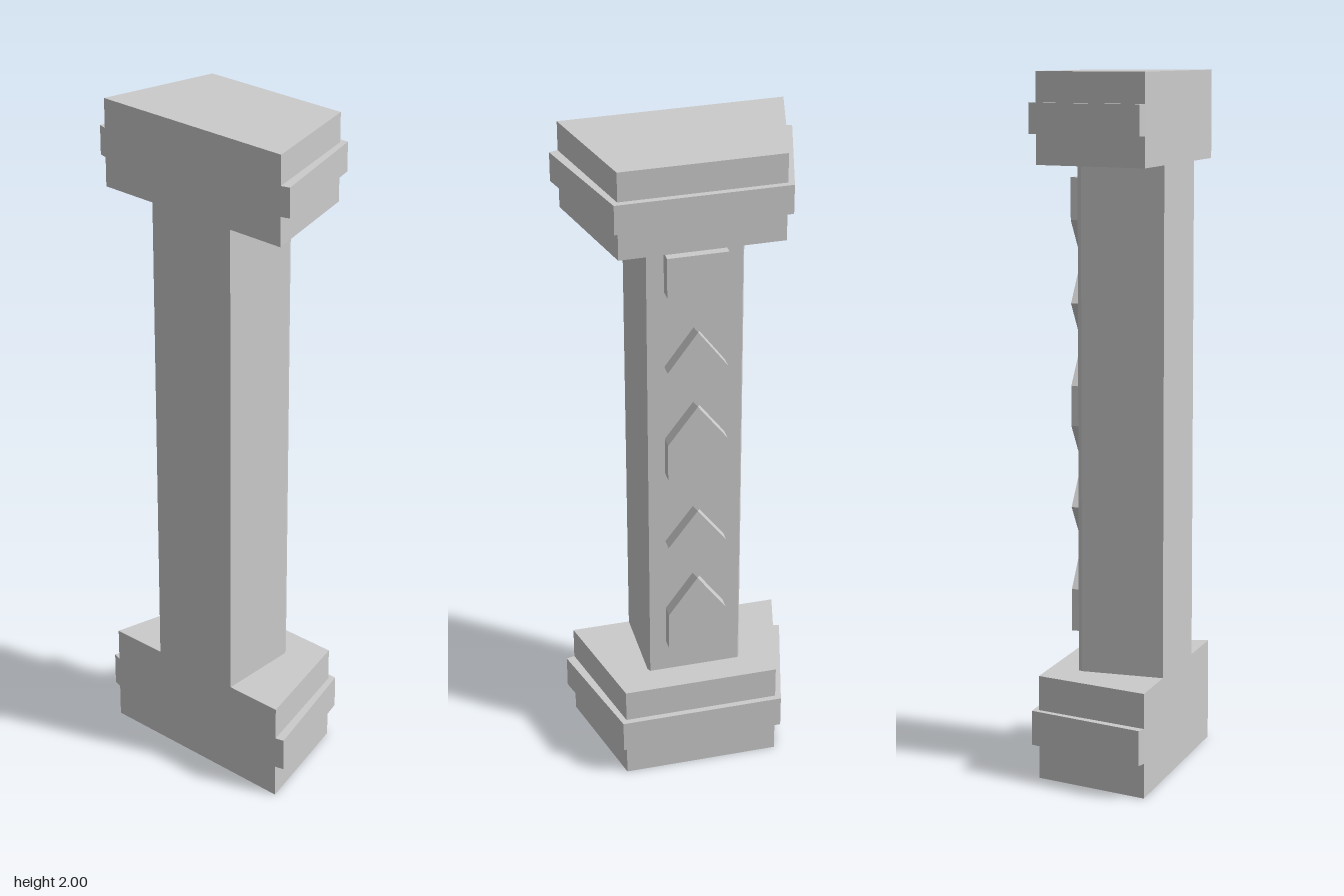
import * as THREE from 'three';

const material = new THREE.MeshStandardMaterial({ color: 0xcccccc, flatShading: true });

// Shape mirrored across x = 0 from its +x half outline
function mirroredShape(half) {
  const left = half.filter(([x]) => x > 0).map(([x, v]) => [-x, v]).reverse();
  return new THREE.Shape([...half, ...left].map(([x, v]) => new THREE.Vector2(x, v)));
}

function extrude(shape, depth) {
  return new THREE.ExtrudeGeometry(shape, { depth, bevelEnabled: false });
}

// Upright prism with an (x, z) plan, standing between two heights
function prism(name, halfPlan, y0, y1) {
  const geometry = extrude(mirroredShape(halfPlan), y1 - y0);
  geometry.rotateX(Math.PI / 2).translate(0, y1, 0);
  const mesh = new THREE.Mesh(geometry, material);
  mesh.name = name;
  return mesh;
}

export function createModel() {
  const group = new THREE.Group();
  group.name = 'pilaster';

  const blockPlan = [[0.23, -0.163], [0.315, 0.178]];
  const bandPlan = [[0.243, -0.18], [0.34, 0.171], [0.315, 0.178]];
  const shaftPlan = [[0.135, -0.076], [0.141, -0.064], [0.141, 0.178]];

  // Base and capital, each with a projecting band
  group.add(prism('base', blockPlan, 0, 0.3));
  group.add(prism('baseBand', bandPlan, 0.1, 0.2));
  group.add(prism('capital', blockPlan, 1.745, 2));
  group.add(prism('capitalBand', bandPlan, 1.83, 1.915));

  // Shaft with chamfered back edges
  group.add(prism('shaft', shaftPlan, 0.3, 1.745));

  // Raised chain of pointed panels and diamonds on the back
  const w = 0.086;
  const panels = {
    lowerPanel: [[w, 0.403], [w, 0.525], [0, 0.645]],
    lowerDiamond: [[0, 0.645], [w, 0.765], [0, 0.88]],
    middlePanel: [[0, 0.88], [w, 1.0], [w, 1.115], [0, 1.23]],
    upperDiamond: [[0, 1.23], [w, 1.35], [0, 1.468]],
    upperPanel: [[0, 1.468], [w, 1.585], [w, 1.705]],
  };
  for (const [name, half] of Object.entries(panels)) {
    const mesh = new THREE.Mesh(extrude(mirroredShape(half), 0.045), material);
    mesh.position.z = -0.114;
    mesh.name = name;
    group.add(mesh);
  }

  return group;
}
